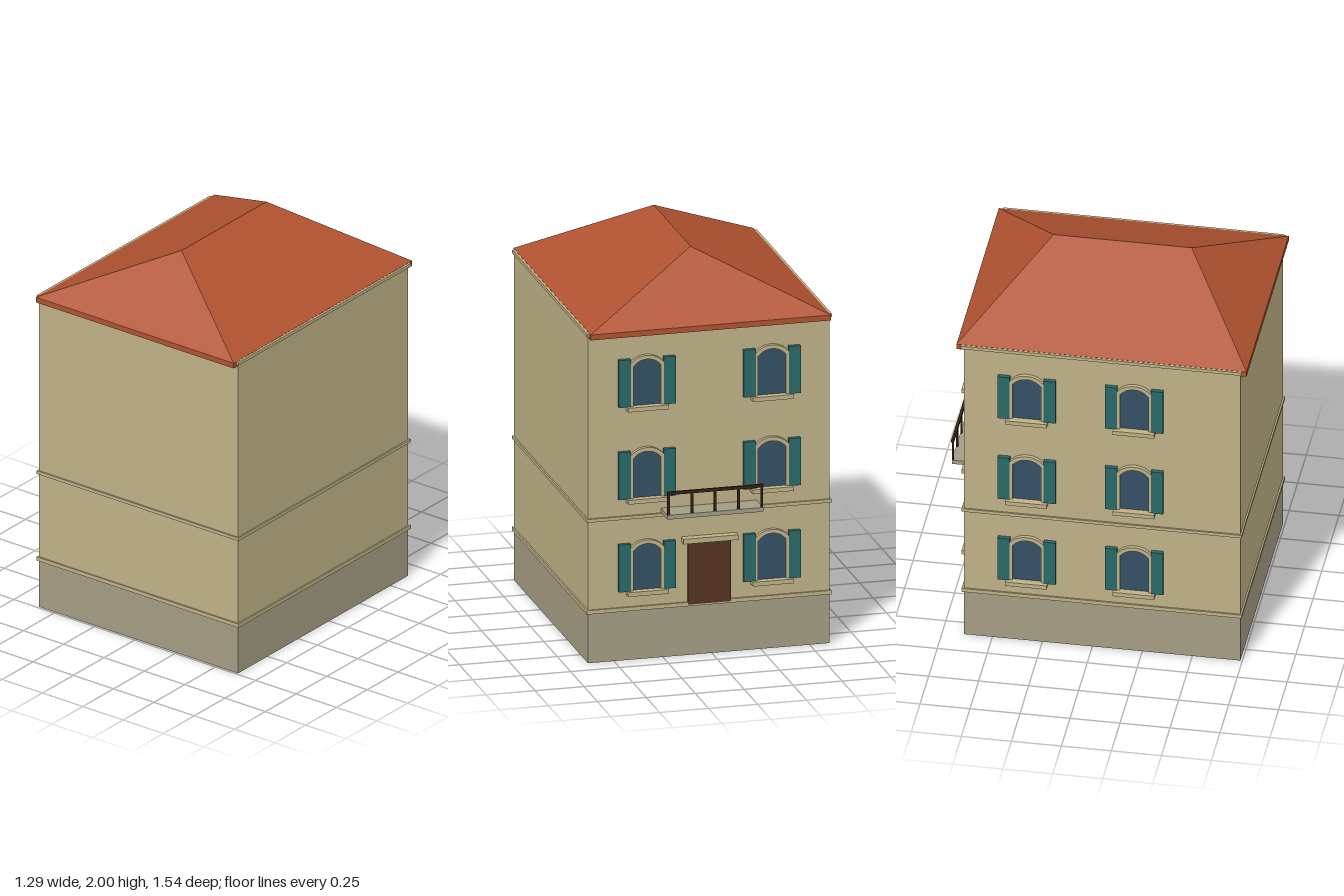
import * as THREE from 'three';

const paint = (name, color) => {
  const m = new THREE.MeshStandardMaterial({ color });
  m.name = name;
  return m;
};

export function createModel() {
  const model = new THREE.Group();
  model.name = 'townhouse';
  const wall = paint('sand plaster', 0xc0b287);
  const stone = paint('grey stone', 0xa49d84);
  const tile = paint('terracotta', 0xb05230);
  const teal = paint('teal shutter paint', 0x2a6868);
  const glassMat = paint('dark blue glass', 0x345064);
  const wood = paint('brown door wood', 0x553421);
  const iron = paint('dark railing', 0x382016);

  const add = (parent, name, geometry, material) => {
    const mesh = new THREE.Mesh(geometry, material);
    mesh.name = name;
    parent.add(mesh);
    return mesh;
  };
  // Box given by its lower and upper corners
  const box = (parent, name, material, [x0, y0, z0], [x1, y1, z1]) => {
    const g = new THREE.BoxGeometry(x1 - x0, y1 - y0, z1 - z0);
    g.translate((x0 + x1) / 2, (y0 + y1) / 2, (z0 + z1) / 2);
    return add(parent, name, g, material);
  };

  // Walls, plinth and string courses
  const X0 = -0.602, X1 = 0.632, Z0 = -0.643, Z1 = 0.74;
  box(model, 'plinth', stone, [X0, 0, Z0], [X1, 0.255, Z1]);
  box(model, 'walls', wall, [X0, 0.255, Z0], [X1, 1.7, Z1]);
  for (const [name, y0, y1] of [['lowerCourse', 0.255, 0.275], ['middleCourse', 0.73, 0.747]]) {
    box(model, name, wall, [X0 - 0.008, y0, Z0 - 0.01], [X1 + 0.008, y1, Z1 + 0.008]);
  }
  box(model, 'cornice', wall, [X0 - 0.008, 1.692, Z0 - 0.014], [X1 + 0.008, 1.709, Z1 + 0.006]);

  // Hipped roof: eaves slab, with the ridge pulled out of a box's top corners
  const eave = [[-0.598, -0.68], [0.628, 0.77]];
  box(model, 'eaves', tile, [eave[0][0], 1.682, eave[0][1]], [eave[1][0], 1.71, eave[1][1]]);
  const hip = new THREE.BoxGeometry(2, 2, 2);
  const p = hip.attributes.position;
  for (let i = 0; i < p.count; i++) {
    const front = p.getZ(i) > 0 ? 1 : 0, right = p.getX(i) > 0 ? 1 : 0;
    if (p.getY(i) > 0) p.setXYZ(i, 0.015, 2, front ? 0.39 : -0.3);
    else p.setXYZ(i, eave[right][0], 1.71, eave[front][1]);
  }
  const roofGeometry = hip.toNonIndexed();
  roofGeometry.computeVertexNormals();
  add(model, 'roof', roofGeometry, tile);

  // Opening outline with a shallow arched head
  const arch = (Base, w, y0, spring, top) => {
    const s = new Base();
    s.moveTo(-w, y0);
    s.lineTo(w, y0);
    s.lineTo(w, spring);
    s.quadraticCurveTo(w * 0.6, top, 0, top);
    s.quadraticCurveTo(-w * 0.6, top, -w, spring);
    s.lineTo(-w, y0);
    return s;
  };
  const surround = arch(THREE.Shape, 0.086, 0.01, 0.24, 0.28);
  surround.holes.push(arch(THREE.Path, 0.071, 0.015, 0.225, 0.26));
  const frameGeo = new THREE.ExtrudeGeometry(surround, { depth: 0.02, bevelEnabled: false, curveSegments: 6 });
  const glassGeo = new THREE.ExtrudeGeometry(arch(THREE.Shape, 0.073, 0.015, 0.226, 0.262),
    { depth: 0.008, bevelEnabled: false, curveSegments: 6 });

  // One shuttered window, facing +z, standing on its sill
  const makeWindow = () => {
    const w = new THREE.Group();
    w.name = 'window';
    add(w, 'glass', glassGeo, glassMat);
    add(w, 'windowSurround', frameGeo, wall);
    box(w, 'sill', wall, [-0.104, 0, 0], [0.104, 0.022, 0.045]);
    for (const side of [-1, 1]) {
      const g = new THREE.BoxGeometry(0.06, 0.245, 0.022);
      g.translate(side * 0.115, 0.143, 0.014);
      add(w, 'shutter', g, teal);
    }
    return w;
  };
  for (const y of [0.34, 0.818, 1.295]) {
    for (const x of [-0.303, 0.335]) {
      const w = makeWindow();
      w.position.set(x, y, Z0);
      w.rotation.y = Math.PI;
      model.add(w);
    }
    for (const z of [-0.325, 0.2125]) {
      const w = makeWindow();
      w.position.set(X0, y, z);
      w.rotation.y = -Math.PI / 2;
      model.add(w);
    }
  }

  // Door with its lintel
  box(model, 'door', wood, [-0.095, 0.265, Z0 - 0.016], [0.125, 0.592, Z0]);
  box(model, 'doorLintel', wall, [-0.125, 0.588, Z0 - 0.043], [0.155, 0.614, Z0]);

  // Balcony with a front railing
  box(model, 'balconySlab', stone, [-0.23, 0.75, -0.767], [0.26, 0.772, Z0]);
  box(model, 'handrail', iron, [-0.23, 0.877, -0.77], [0.26, 0.892, -0.756]);
  for (let i = 0; i < 5; i++) {
    const x = -0.223 + i * 0.119;
    box(model, 'railPost', iron, [x - 0.006, 0.77, -0.766], [x + 0.006, 0.88, -0.757]);
  }
  return model;
}
